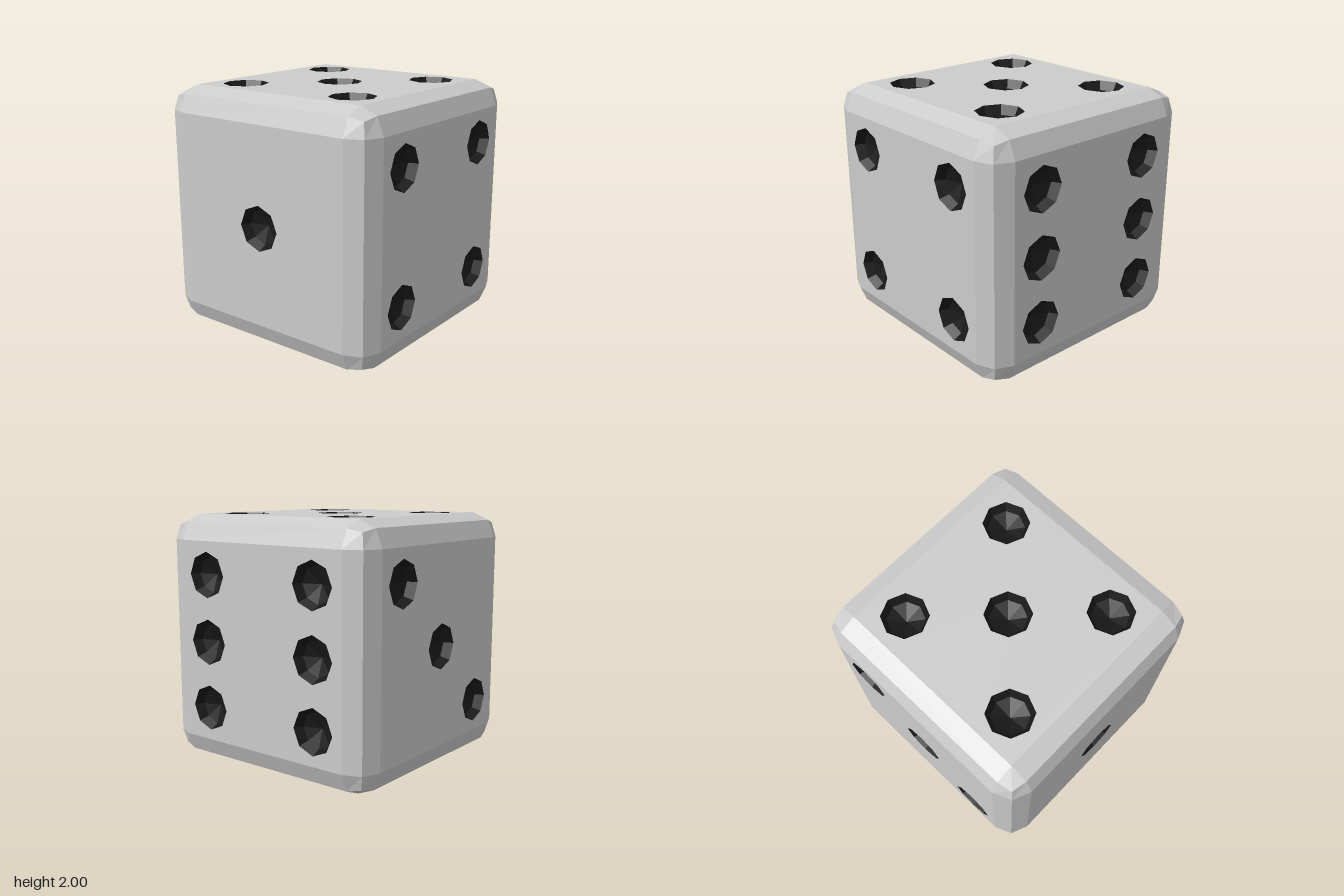
import * as THREE from 'three';
import { RoundedBoxGeometry } from 'three/addons/geometries/RoundedBoxGeometry.js';

const FLAT = 0.8;   // half width of the flat part of each face
const BEVEL = 0.2;  // radius of the rounded edges
const STEP = 0.535; // distance between pip rows
const PIP = 0.183;  // pip radius

// Bevelled edges and corners only: the flat centre of every face is left out
function bevelGeometry() {
  const source = new RoundedBoxGeometry(2, 2, 2, 1, BEVEL).toNonIndexed().getAttribute('position');
  const kept = [];
  const corners = [new THREE.Vector3(), new THREE.Vector3(), new THREE.Vector3()];
  for (let i = 0; i < source.count; i += 3) {
    corners.forEach((c, k) => c.fromBufferAttribute(source, i + k));
    const flat = ['x', 'y', 'z'].some((axis) =>
      corners.every((c) => c[axis] > 0.999) || corners.every((c) => c[axis] < -0.999));
    if (!flat) corners.forEach((c) => kept.push(c.x, c.y, c.z));
  }
  const geometry = new THREE.BufferGeometry();
  geometry.setAttribute('position', new THREE.Float32BufferAttribute(kept, 3));
  geometry.computeVertexNormals();
  return geometry;
}

// Square panel with an octagonal opening for each pip
function panelGeometry(pips) {
  const square = [[-1, -1], [1, -1], [1, 1], [-1, 1]];
  const shape = new THREE.Shape(square.map(([x, y]) => new THREE.Vector2(x * FLAT, y * FLAT)));
  for (const [u, v] of pips) {
    const ring = [];
    for (let i = 0; i < 8; i++) {
      const a = -i * Math.PI / 4;
      ring.push(new THREE.Vector2(u * STEP + PIP * Math.cos(a), v * STEP + PIP * Math.sin(a)));
    }
    shape.holes.push(new THREE.Path(ring));
  }
  return new THREE.ShapeGeometry(shape);
}

export function createModel() {
  const model = new THREE.Group();
  model.name = 'die';
  const bodyMaterial = new THREE.MeshStandardMaterial({ color: 0xcccccc, flatShading: true });
  const pipMaterial = new THREE.MeshStandardMaterial({
    color: 0x181818, flatShading: true, side: THREE.DoubleSide,
  });

  const bevel = new THREE.Mesh(bevelGeometry(), bodyMaterial);
  bevel.name = 'bevelledEdges';
  bevel.position.y = 1;
  model.add(bevel);

  // Shallow faceted bowl, opening towards +z
  const bowl = new THREE.LatheGeometry(
    [[0, -0.115], [0.145, -0.07], [PIP, 0]].map(([r, y]) => new THREE.Vector2(r, y)), 8);
  bowl.rotateX(Math.PI / 2);

  // Pip places in units of STEP, seen from outside each face
  const diagonal = [[-1, 1], [1, -1]];
  const four = [...diagonal, [1, 1], [-1, -1]];
  const quarter = Math.PI / 2;
  const faces = [
    ['front', 0, 0, [[0, 0]]],
    ['right', 0, quarter, four],
    ['back', 0, Math.PI, [...four, [-1, 0], [1, 0]]],
    ['left', 0, -quarter, [...diagonal, [0, 0]]],
    ['top', -quarter, 0, [...four, [0, 0]]],
    ['bottom', quarter, 0, diagonal],
  ];

  for (const [name, rx, ry, pips] of faces) {
    const face = new THREE.Group();
    face.name = `${name}Face`;
    face.position.y = 1;
    face.rotation.set(rx, ry, 0);

    const panel = new THREE.Mesh(panelGeometry(pips), bodyMaterial);
    panel.name = `${name}Panel`;
    panel.position.z = 1;
    face.add(panel);

    for (const [u, v] of pips) {
      const pip = new THREE.Mesh(bowl, pipMaterial);
      pip.name = 'pip';
      pip.position.set(u * STEP, v * STEP, 1);
      face.add(pip);
    }
    model.add(face);
  }
  return model;
}
